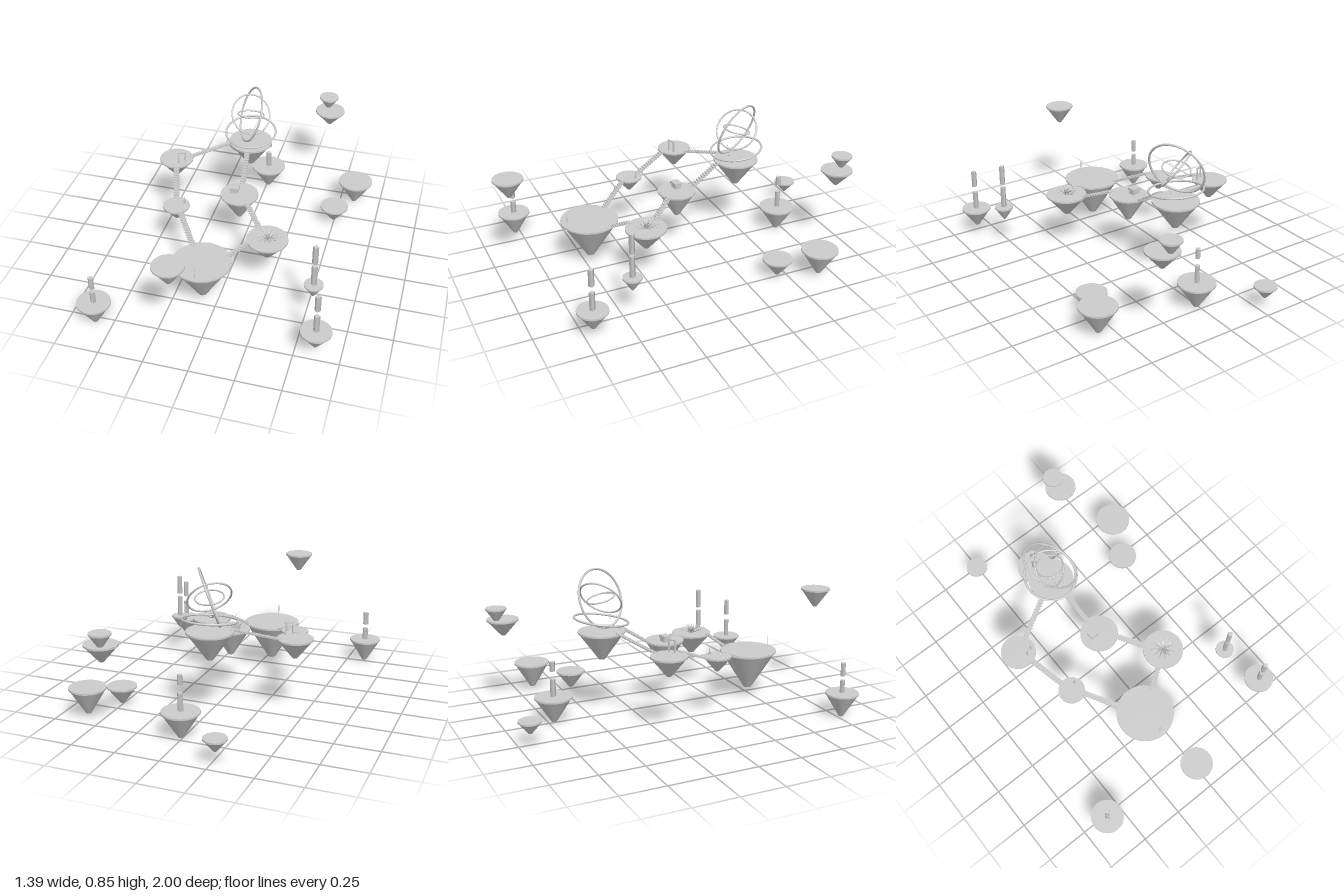
import * as THREE from 'three';

const mat = new THREE.MeshStandardMaterial({ color: 0xcccccc });
const V = (x, y, z) => new THREE.Vector3(x, y, z);

function add(parent, name, geometry, x = 0, y = 0, z = 0) {
  const mesh = new THREE.Mesh(geometry, mat);
  mesh.name = name;
  mesh.position.set(x, y, z);
  parent.add(mesh);
  return mesh;
}

function group(parent, name, x = 0, y = 0, z = 0) {
  const g = new THREE.Group();
  g.name = name;
  g.position.set(x, y, z);
  parent.add(g);
  return g;
}

// Floating island: thin disc over a blunt inverted cone
function island(parent, name, { x, z, r, top, bottom }) {
  const g = group(parent, name, x, 0, z);
  const lip = 0.01;
  const h = top - lip - bottom;
  add(g, 'ground', new THREE.CylinderGeometry(r, r, lip, 40), 0, top - lip / 2, 0);
  add(g, 'rock', new THREE.CylinderGeometry(r * 0.97, r * 0.14, h, 40), 0, bottom + h / 2, 0);
  return g;
}

// Four-sided pillar spanning two heights
function pillar(parent, name, y0, y1) {
  add(parent, name, new THREE.CylinderGeometry(0.0165, 0.0165, y1 - y0, 4), 0, (y0 + y1) / 2, 0);
}

// Stepping slabs from rim to rim of two islands
function bridge(parent, a, b) {
  const g = group(parent, 'bridge');
  const dir = V(b.x - a.x, 0, b.z - a.z).normalize();
  const start = V(a.x, a.top, a.z).addScaledVector(dir, a.r * 0.97);
  const end = V(b.x, b.top, b.z).addScaledVector(dir, -b.r * 0.97);
  const n = Math.round(start.distanceTo(end) / 0.017);
  const slab = new THREE.BoxGeometry(0.03, 0.008, 0.022);
  for (let i = 0; i <= n; i++) {
    const p = start.clone().lerp(end, i / n);
    add(g, 'slab', slab, p.x, p.y, p.z);
  }
}

// Torus facing along a given normal
function ring(parent, name, radius, tube, y, normal) {
  const m = add(parent, name, new THREE.TorusGeometry(radius, tube, 10, 72), 0, y, 0);
  m.quaternion.setFromUnitVectors(V(0, 0, 1), normal.normalize());
}

export function createModel() {
  const model = new THREE.Group();
  model.name = 'floatingIslands';

  // Linked islands, in loop order
  const linked = [
    { x: -0.08, z: 0.47, r: 0.165, top: 0.292, bottom: 0.063 },
    { x: 0.234, z: 0.25, r: 0.117, top: 0.347, bottom: 0.222 },
    { x: -0.006, z: -0.045, r: 0.11, top: 0.4, bottom: 0.243 },
    { x: -0.043, z: -0.445, r: 0.13, top: 0.511, bottom: 0.35 },
    { x: -0.449, z: -0.228, r: 0.1, top: 0.452, bottom: 0.34 },
    { x: -0.338, z: 0.121, r: 0.077, top: 0.373, bottom: 0.286 },
  ];
  const names = ['mainIsland', 'flowerIsland', 'chestIsland', 'ringIsland', 'gateIsland', 'crystalIsland'];
  const [main, flowerIsle, chestIsle, ringIsle, gateIsle, crystalIsle] =
    linked.map((d, i) => island(model, names[i], d));
  linked.forEach((d, i) => bridge(model, d, linked[(i + 1) % linked.length]));

  // Outlying islands; some carry a pillar and a floating piece above it
  const outer = [
    { x: -0.274, z: -0.94, r: 0.063, top: 0.15, bottom: 0.078 },
    { x: 0.345, z: -0.925, r: 0.059, top: 0.604, bottom: 0.522 },
    { x: 0.364, z: -0.884, r: 0.09, top: 0.532, bottom: 0.436 },
    { x: 0.01, z: -0.717, r: 0.105, top: 0.154, bottom: 0.007, pillars: [0.154, 0.255, 0.3, 0.355] },
    { x: 0.59, z: -0.658, r: 0.104, top: 0.18, bottom: 0.027 },
    { x: 0.496, z: -0.443, r: 0.085, top: 0.121, bottom: 0.018 },
    { x: 0.542, z: 0.458, r: 0.053, top: 0.264, bottom: 0.185, pillars: [0.264, 0.39, 0.41, 0.522] },
    { x: 0.61, z: 0.706, r: 0.085, top: 0.173, bottom: 0.062, pillars: [0.173, 0.28, 0.317, 0.414] },
    { x: -0.603, z: 0.778, r: 0.094, top: 0.143, bottom: 0.003, pillars: [0.143, 0.216, 0.24, 0.317] },
    { x: -0.11, z: 0.912, r: 0.085, top: 0.628, bottom: 0.516 },
  ];
  for (const d of outer) {
    const g = island(model, 'outerIsland', d);
    if (d.pillars) {
      pillar(g, 'pillar', d.pillars[0], d.pillars[1]);
      pillar(g, 'floatingPillar', d.pillars[2], d.pillars[3]);
    }
  }

  // Thin pole near the front of the main island
  add(main, 'pole', new THREE.CylinderGeometry(0.002, 0.002, 0.064, 8), 0, 0.324, 0.132);

  // Spiky flower: three whorls of flattened petals
  const flower = group(flowerIsle, 'flower', 0, 0.345, 0);
  const whorls = [[12, 0.085, 1.2], [9, 0.07, 0.85], [6, 0.056, 0.4]];
  whorls.forEach(([count, length, tilt], w) => {
    const petal = new THREE.ConeGeometry(0.011, length, 6);
    petal.scale(1, 1, 0.4).translate(0, length / 2, 0).rotateX(tilt);
    for (let i = 0; i < count; i++) {
      add(flower, 'petal', petal).rotation.y = ((i + w * 0.5) / count) * Math.PI * 2;
    }
  });

  // Small chest with an overhanging lid
  const chest = group(chestIsle, 'chest', -0.034, 0.4, -0.012);
  chest.rotation.y = 0.12;
  add(chest, 'base', new THREE.BoxGeometry(0.048, 0.022, 0.036), 0, 0.011, 0);
  add(chest, 'lid', new THREE.BoxGeometry(0.058, 0.014, 0.046), 0, 0.029, 0);

  // Gate of two posts and a lintel
  const gate = group(gateIsle, 'gate', 0.048, 0.452, 0.04);
  gate.rotation.y = 0.42;
  for (const s of [-1, 1]) {
    add(gate, 'post', new THREE.BoxGeometry(0.007, 0.068, 0.007), s * 0.02, 0.034, 0);
  }
  add(gate, 'lintel', new THREE.BoxGeometry(0.05, 0.007, 0.008), 0, 0.068, 0);

  // Crystal cluster
  const crystals = group(crystalIsle, 'crystals', 0.041, 0.371, -0.027);
  [[0, 0, 0.054, 0], [0.006, 0.003, 0.034, -0.25], [-0.006, 0.003, 0.028, 0.3]].forEach(([x, z, h, lean]) => {
    const c = add(crystals, 'crystal', new THREE.ConeGeometry(0.006, h, 5), x, h / 2, z);
    c.rotation.z = lean;
  });

  // Nested rings hovering over the highest island
  const rings = group(ringIsle, 'rings');
  ring(rings, 'outerRing', 0.162, 0.006, 0.695, V(0.84, -0.33, -0.43));
  ring(rings, 'middleRing', 0.12, 0.005, 0.695, V(0.52, 0.6, 0.6));
  ring(rings, 'innerRing', 0.077, 0.0045, 0.695, V(0, 1, -0.26));
  ring(rings, 'baseRing', 0.15, 0.006, 0.573, V(0, 1, 0.14));

  // Small shards drifting under the rings
  [[0, 0.536, 0.045], [0.02, 0.571, 0.06], [-0.012, 0.6, 0.05]].forEach(([x, y, z]) => {
    const s = add(ringIsle, 'shard', new THREE.OctahedronGeometry(0.007), x, y, z);
    s.scale.set(1.3, 0.6, 0.8);
    s.rotation.z = 0.3;
  });

  return model;
}
